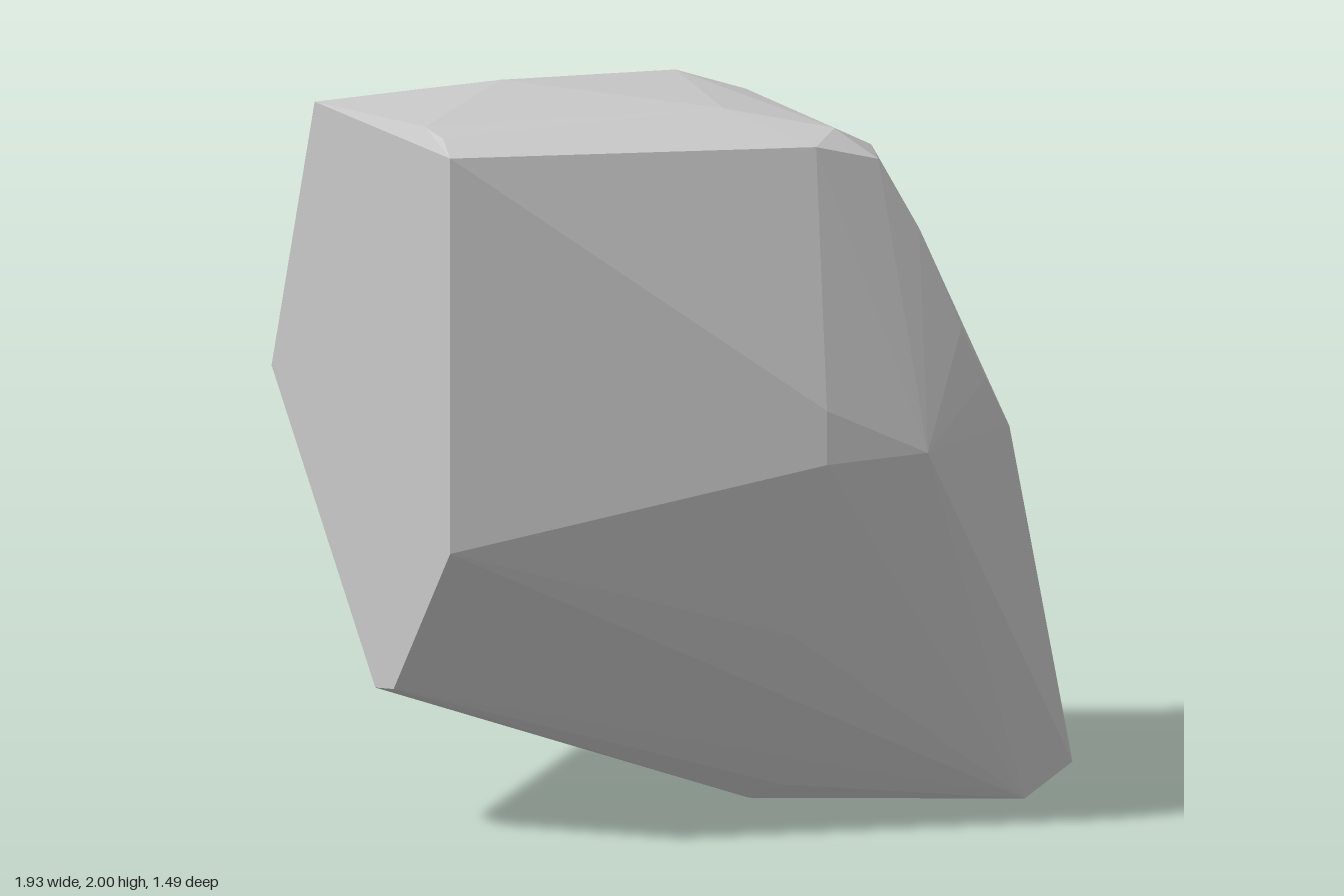
import * as THREE from 'three';
import { ConvexGeometry } from 'three/addons/geometries/ConvexGeometry.js';

const at = (list, place) => list.map(([a, b]) => new THREE.Vector3(...place(a, b)));
const xyz = (list) => list.map((p) => new THREE.Vector3(...p));

export function createModel() {
  const group = new THREE.Group();
  group.name = 'rock';
  const stone = new THREE.MeshStandardMaterial({ color: 0xc8c8c8, flatShading: true });
  stone.name = 'light grey stone';

  // flat cut side, outline in (y, z)
  const cutSide = at([[1.96, 0.52], [0.86, 0.52], [0.41, 0.12], [0.39, -0.01],
    [1.15, -0.745], [1.94, -0.44]], (y, z) => [-0.97, y, z]);

  // flat back with an arched upper edge, outline in (x, y)
  const back = at([[0.77, 0], [0.91, 0.06], [0.86, 0.41], [0.55, 0.9], [0.27, 1.15],
    [0, 1.28], [-0.23, 1.34], [-0.54, 1.37], [-0.77, 1.36], [-0.93, 1.29]],
  (x, y) => [x, y, -0.745]);

  // gently domed top
  const top = xyz([[-0.94, 2, 0.27], [-0.94, 1.99, 0.4], [-0.5, 2, -0.25], [-0.09, 2, 0.35],
    [0.17, 1.955, 0.51], [0.07, 1.93, 0.62], [0.26, 1.88, 0.605], [0.32, 1.88, 0.41],
    [0.3, 1.88, -0.43], [0.1, 1.945, -0.45], [-0.7, 1.945, -0.46]]);

  // bulging front, undercut below
  const front = xyz([[0.05, 1.22, 0.745], [0.05, 1.07, 0.745], [0.35, 1.08, 0.74],
    [0.375, 1.68, 0.62], [0.49, 1.4, 0.643], [0.57, 1.25, 0.622], [0.66, 1.1, 0.575],
    [0.05, 0.55, 0.505], [0.17, 0.06, 0.14]]);

  // sloping side and foot
  const slope = xyz([[0.62, 1.5, 0.06], [0.55, 1.4, -0.42], [0.915, 0.4, 0],
    [0.77, 0.6, -0.71], [0.87, 0.4, -0.72], [0.945, 0.17, -0.65], [0.965, 0.09, 0.29],
    [0.965, 0.02, -0.4], [0.95, 0.05, -0.7], [0.82, 0, 0.3], [0.13, 0, 0]]);

  const boulder = new THREE.Mesh(
    new ConvexGeometry([...cutSide, ...back, ...top, ...front, ...slope]), stone);
  boulder.name = 'boulder';
  group.add(boulder);
  return group;
}
